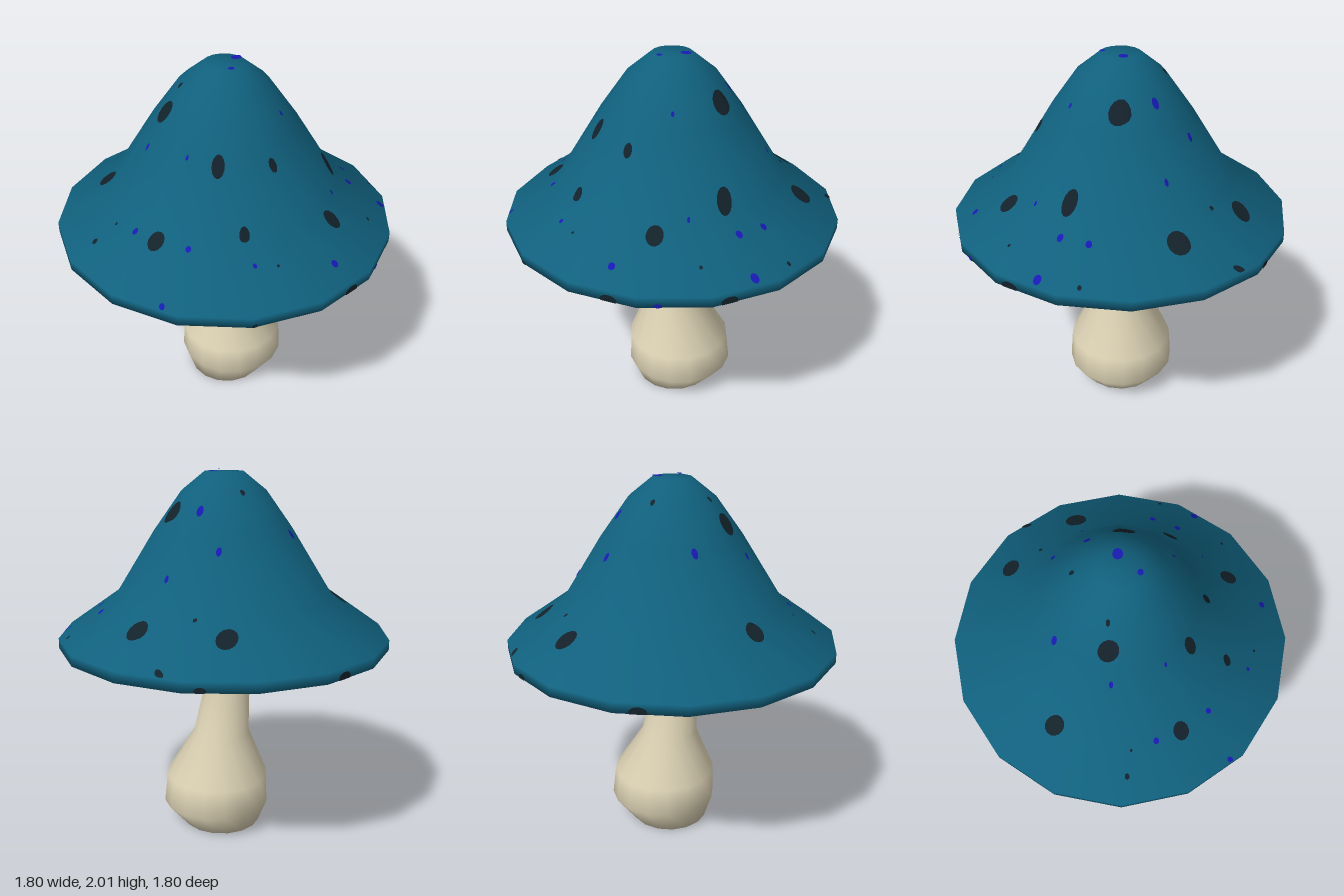
import * as THREE from 'three';

const SIDES = 16;
const STEP = (Math.PI * 2) / SIDES;

const capMat = new THREE.MeshStandardMaterial({ color: 0x10607d });
const stemMat = new THREE.MeshStandardMaterial({ color: 0xded4b6 });
const darkMat = new THREE.MeshStandardMaterial({ color: 0x13212a });
const blueMat = new THREE.MeshStandardMaterial({ color: 0x1818b4 });
capMat.name = 'teal cap';
stemMat.name = 'cream flesh';
darkMat.name = 'dark spot';
blueMat.name = 'blue spot';

// [radius, height] profiles
const CAP = [[0.9, 1.135], [0.595, 1.35], [0.375, 1.7], [0.23, 1.9], [0.105, 2], [0, 2]];
const LIP = [[0.78, 1.16], [0.85, 1.08], [0.9, 1.08]];
const LINING = [[0, 1.5], [0.1, 1.48], [0.5, 1.33], [0.78, 1.16]];

function lathe(name, profile, mat) {
  const points = profile.map(([r, y]) => new THREE.Vector2(r, y));
  const mesh = new THREE.Mesh(new THREE.LatheGeometry(points, SIDES), mat);
  mesh.name = name;
  return mesh;
}

// Ratio between the faceted outline and the true circle at an angle
function facet(angle) {
  const d = angle - (Math.floor(angle / STEP) + 0.5) * STEP;
  return Math.cos(d) / Math.cos(STEP / 2);
}

// Height of a profile at a radius
function heightAt(profile, r) {
  for (let i = 1; i < profile.length; i++) {
    const [r0, y0] = profile[i - 1], [r1, y1] = profile[i];
    if (r >= Math.min(r0, r1) && r <= Math.max(r0, r1)) {
      return y0 + ((y1 - y0) * (r - r0)) / (r1 - r0);
    }
  }
  return profile[0][1];
}

// Drops a plan position onto a faceted profile
function drape(profile, min, lift) {
  return (x, z) => {
    const k = facet(Math.atan2(x, z));
    const r = Math.hypot(x, z) * k;
    const rr = THREE.MathUtils.clamp(r, min, 0.9);
    const s = r > 0 ? rr / r : 1;
    return [x * s, heightAt(profile, rr) + lift, z * s];
  };
}
const onCap = drape(CAP, 0, 0.006);
const onLip = drape(LIP, 0.78, -0.005);
// Rim wall: angle around and height
const onWall = (a, y) => {
  const r = 0.904 / facet(a);
  return [Math.sin(a) * r, THREE.MathUtils.clamp(y, 1.08, 1.137), Math.cos(a) * r];
};

// Round patch following a surface map
function patch(name, map, u, v, ru, rv, mat, flip) {
  const N = 14, RINGS = 3;
  const pos = [...map(u, v)], index = [];
  for (let k = 1; k <= RINGS; k++) {
    for (let i = 0; i < N; i++) {
      const a = (i / N) * Math.PI * 2, s = k / RINGS;
      pos.push(...map(u + Math.cos(a) * ru * s, v + Math.sin(a) * rv * s));
    }
  }
  const tri = (a, b, c) => (flip ? index.push(a, c, b) : index.push(a, b, c));
  for (let i = 0; i < N; i++) {
    const j = (i + 1) % N;
    tri(0, 1 + i, 1 + j);
    for (let k = 1; k < RINGS; k++) {
      const p = 1 + (k - 1) * N, q = p + N;
      tri(p + i, q + i, q + j);
      tri(p + i, q + j, p + j);
    }
  }
  const geo = new THREE.BufferGeometry();
  geo.setAttribute('position', new THREE.Float32BufferAttribute(pos, 3));
  geo.setIndex(index);
  geo.computeVertexNormals();
  const mesh = new THREE.Mesh(geo, mat);
  mesh.name = name;
  return mesh;
}

// Cap spots: x, z, half width, half depth
const DARK = [
  [0.36, -0.59, 0.057, 0.048], [-0.53, -0.33, 0.046, 0.05], [0.65, -0.24, 0.052, 0.058],
  [-0.305, -0.055, 0.036, 0.05], [0.3, 0.02, 0.038, 0.056], [-0.56, 0.3, 0.043, 0.04],
  [-0.23, 0.33, 0.032, 0.03], [0.475, 0.27, 0.035, 0.042], [0.02, 0.42, 0.022, 0.02],
  [-0.21, 0.54, 0.026, 0.022], [0.28, 0.58, 0.042, 0.046], [0.435, -0.425, 0.011, 0.01],
  [0.03, -0.22, 0.012, 0.013], [-0.215, -0.055, 0.013, 0.01], [-0.77, 0.03, 0.014, 0.012],
  [-0.655, 0.05, 0.007, 0.006], [0.82, 0.235, 0.011, 0.01], [0.53, 0.57, 0.008, 0.008],
  [0.69, -0.53, 0.015, 0.03], [-0.12, 0.7, 0.007, 0.006],
];
const BLUE = [
  [0.075, -0.01, 0.028, 0.024], [-0.015, 0.09, 0.016, 0.014], [-0.215, -0.31, 0.017, 0.014],
  [0.24, -0.33, 0.015, 0.012], [0.24, -0.155, 0.018, 0.018], [0.46, -0.195, 0.011, 0.01],
  [-0.415, -0.045, 0.011, 0.01], [-0.61, 0.175, 0.015, 0.014], [0.65, 0.185, 0.016, 0.016],
  [0.59, 0.32, 0.018, 0.016], [-0.46, 0.44, 0.013, 0.014], [0.74, 0.43, 0.022, 0.02],
  [-0.67, 0.56, 0.012, 0.016], [-0.225, 0.66, 0.01, 0.01], [0.165, 0.77, 0.018, 0.016],
  [0.17, 0.255, 0.008, 0.008], [-0.33, 0.21, 0.008, 0.006], [0.38, 0.44, 0.007, 0.008],
];
// Rim wall spots: x, z, radius, material
const WALL = [
  [0.21, 0.87, 0.045, darkMat], [0.69, 0.57, 0.045, darkMat], [-0.33, 0.83, 0.015, darkMat],
  [-0.12, -0.89, 0.045, darkMat], [0.57, -0.69, 0.03, darkMat], [0.43, 0.78, 0.02, blueMat],
];
// Lip underside spots: x, z, radius, material
const UNDER = [
  [0.2, 0.83, 0.04, darkMat], [0.85, -0.16, 0.03, darkMat], [0.56, -0.66, 0.035, darkMat],
  [0.8, 0.08, 0.04, blueMat], [0.81, -0.2, 0.02, blueMat], [-0.83, -0.09, 0.06, blueMat],
];

// Stem rings: height, radius, sideways offset
const STEM = [
  [0, 0, 0.017], [0, 0.218, 0.017], [0.14, 0.3, 0.055], [0.3, 0.288, 0.048],
  [0.55, 0.158, 0.017], [0.92, 0.117, -0.037], [1.08, 0.117, -0.028], [1.5, 0.117, -0.01],
];

export function createModel() {
  const group = new THREE.Group();
  group.name = 'mushroom';

  // Bent stem: a lathe with each ring slid sideways
  const stem = lathe('stem', STEM.map(([y, r]) => [r, y]), stemMat);
  const p = stem.geometry.attributes.position;
  for (let i = 0; i < p.count; i++) p.setX(i, p.getX(i) + STEM[i % STEM.length][2]);
  group.add(stem);

  // Cap shell and pale lining
  group.add(lathe('cap', [...LIP, ...CAP], capMat));
  group.add(lathe('capLining', LINING, stemMat));

  // Spots
  const spots = new THREE.Group();
  spots.name = 'spots';
  for (const [x, z, rx, rz] of DARK) spots.add(patch('darkSpot', onCap, x, z, rx, rz, darkMat, true));
  for (const [x, z, rx, rz] of BLUE) spots.add(patch('blueSpot', onCap, x, z, rx, rz, blueMat, true));
  for (const [x, z, r, mat] of WALL) {
    spots.add(patch('rimSpot', onWall, Math.atan2(x, z), 1.09, r / 0.9, r * 0.6, mat, false));
  }
  for (const [x, z, r, mat] of UNDER) spots.add(patch('lipSpot', onLip, x, z, r, r, mat, false));
  group.add(spots);

  return group;
}
